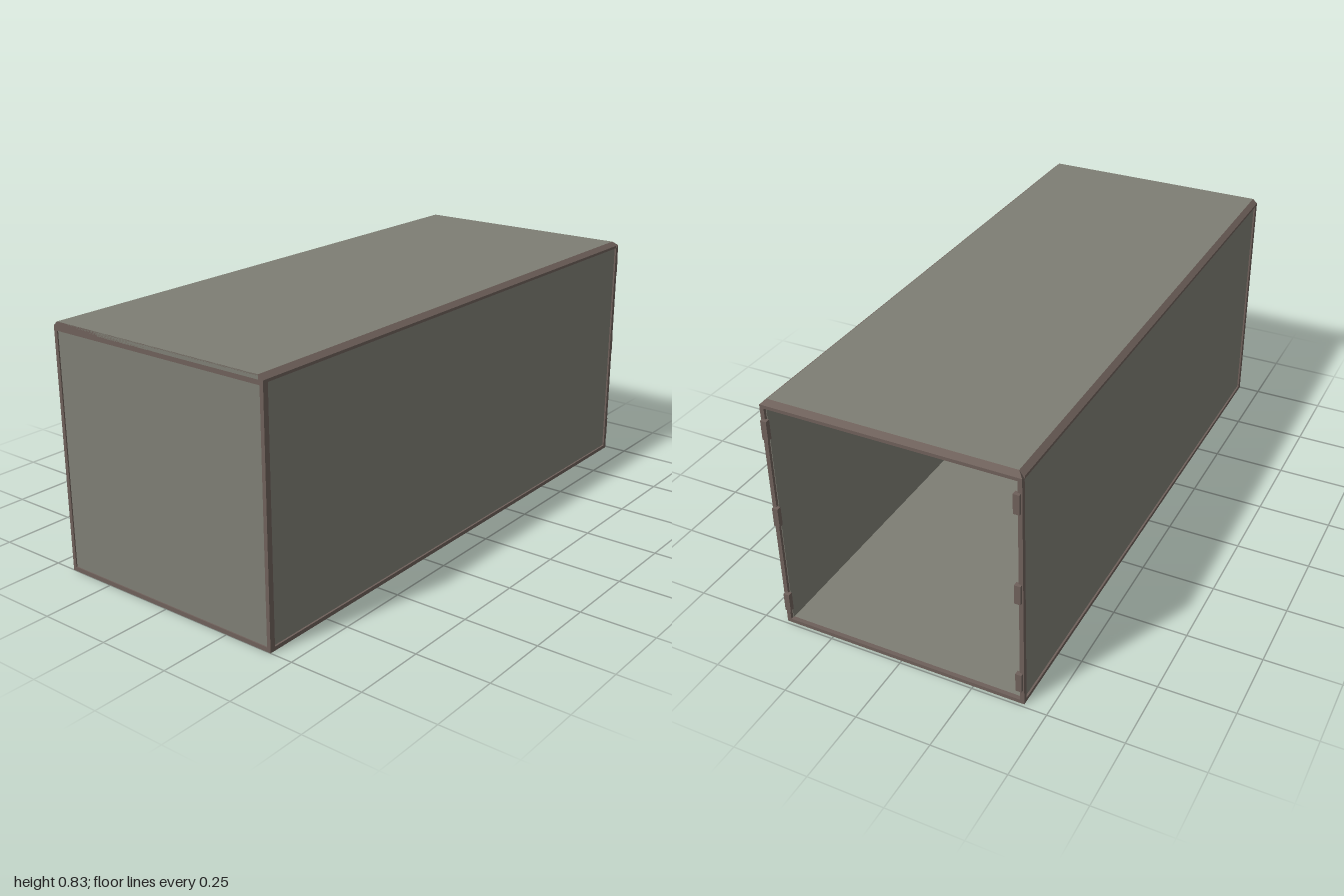
import * as THREE from 'three';

const W = 0.422, H = 0.833, FRONT = 1, BACK = -0.99; // outer extents
const CX = 0.017, CY = 0.014;                         // chamfer of the roof edges

export function createModel() {
  const model = new THREE.Group();
  const panelMat = new THREE.MeshStandardMaterial({ color: 0x7e7e74 });
  const frameMat = new THREE.MeshStandardMaterial({ color: 0x6e605a });

  const add = (name, geometry, material) => {
    const mesh = new THREE.Mesh(geometry, material);
    mesh.name = name;
    model.add(mesh);
    return mesh;
  };
  // Box given by its minimum and maximum corners
  const box = (name, x0, x1, y0, y1, z0, z1, material) => {
    const mesh = add(name, new THREE.BoxGeometry(x1 - x0, y1 - y0, z1 - z0), material);
    mesh.position.set((x0 + x1) / 2, (y0 + y1) / 2, (z0 + z1) / 2);
    return mesh;
  };
  const extrude = (points, depth) => new THREE.ExtrudeGeometry(
    new THREE.Shape(points.map(([x, y]) => new THREE.Vector2(x, y))),
    { depth, bevelEnabled: false });

  // Roof, floor and front wall
  box('roofPanel', -W + CX, W - CX, H - 0.015, H, BACK + CX, FRONT, panelMat);
  box('floorPanel', -W + 0.012, W - 0.012, 0.003, 0.012, BACK + 0.012, FRONT - 0.012, panelMat);
  box('frontPanel', -0.41, 0.41, 0.013, 0.805, 0.985, 0.996, panelMat);

  // Front header with clipped top corners
  const header = add('frontHeader', extrude([
    [-W, 0.803], [W, 0.803], [W, H - CY], [W - CX, H - 0.0005], [-W + CX, H - 0.0005], [-W, H - CY],
  ], 0.02), frameMat);
  header.position.z = FRONT - 0.02;

  // Rear header: chamfered bar whose top corners are pulled in to form hips
  const rearGeo = extrude([
    [0, H - 0.025], [CX, H - 0.025], [CX, H - CY], [0, H],
  ], 2 * W).rotateY(Math.PI / 2).translate(-W, 0, BACK + CX);
  const pos = rearGeo.attributes.position;
  for (let i = 0; i < pos.count; i++) {
    if (pos.getY(i) > H - 0.002) pos.setX(i, Math.sign(pos.getX(i)) * (W - CX));
  }
  rearGeo.computeVertexNormals();
  add('rearHeader', rearGeo, frameMat);

  // Sills under both ends
  box('frontSill', -W, W, 0, 0.014, FRONT - 0.018, FRONT, frameMat);
  box('rearSill', -W, W, 0, 0.013, BACK, BACK + 0.014, frameMat);

  for (const side of [-1, 1]) {
    const name = side > 0 ? 'left' : 'right';
    const sideBox = (part, a, b, y0, y1, z0, z1, material) =>
      box(name + part, Math.min(side * a, side * b), Math.max(side * a, side * b), y0, y1, z0, z1, material);

    // Side wall, set slightly behind its frame
    sideBox('Wall', 0.406, 0.416, 0.01, 0.812, BACK + 0.01, FRONT - 0.01, panelMat);
    sideBox('BottomRail', W - 0.014, W, 0, 0.013, BACK, FRONT, frameMat);
    sideBox('FrontPost', W - 0.013, W, 0, 0.81, FRONT - 0.019, FRONT, frameMat);
    sideBox('RearPost', W - 0.014, W, 0, 0.81, BACK, BACK + 0.015, frameMat);

    // Chamfered top rail
    const profile = [[W - CX - 0.004, 0.81], [W, 0.81], [W, H - CY], [W - CX, H], [W - CX - 0.004, H - 0.002]]
      .map(([x, y]) => [side * x, y]);
    const rail = add(name + 'TopRail', extrude(profile, FRONT - BACK - CX), frameMat);
    rail.position.z = BACK + CX;

    // Hinge plates on the rear posts
    for (const y of [0.088, 0.423, 0.737]) {
      sideBox('Hinge', 0.398, 0.418, y - 0.033, y + 0.033, -1, BACK + 0.006, frameMat);
    }
  }
  return model;
}
